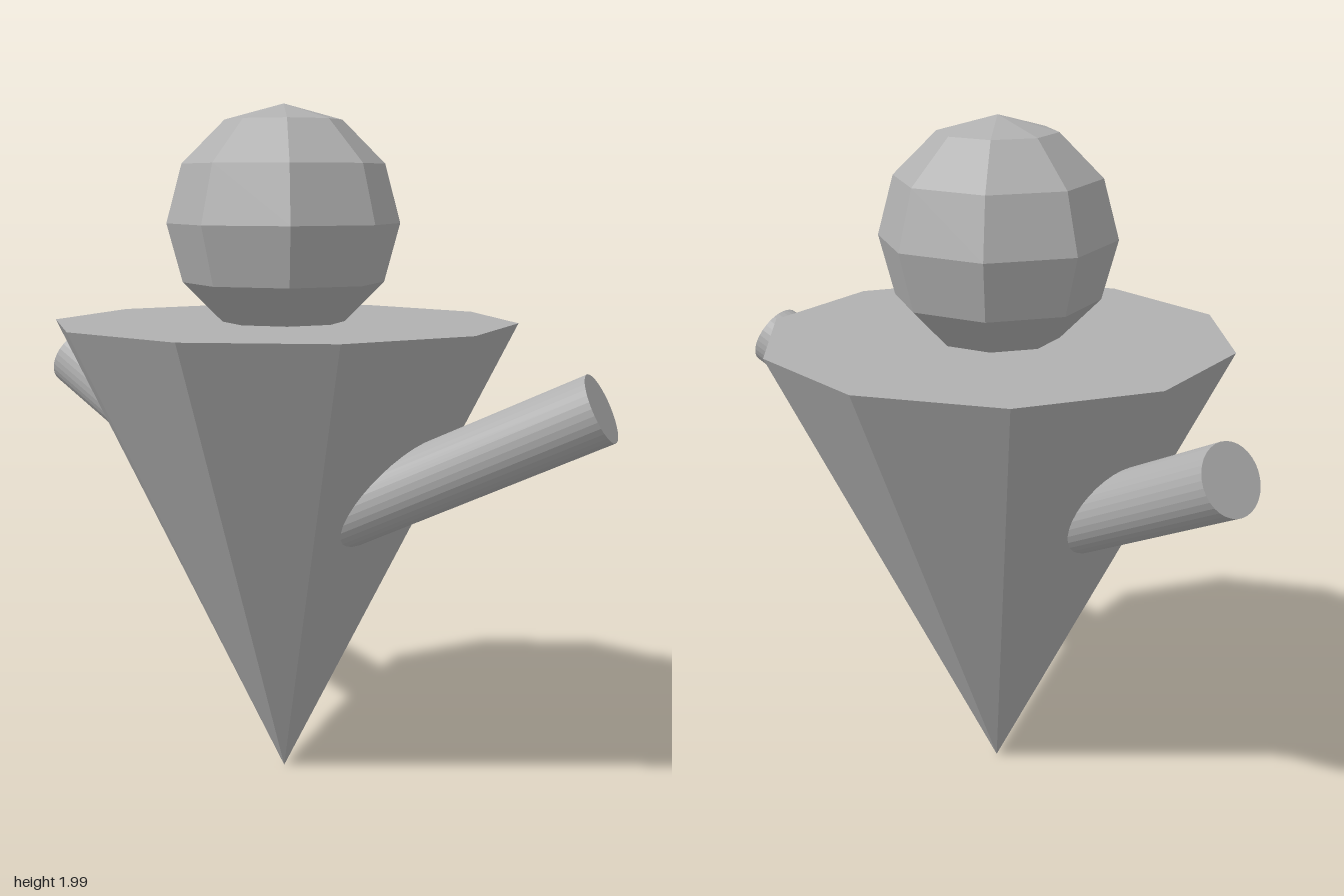
import * as THREE from 'three';

export function createModel() {
  const model = new THREE.Group();
  const grey = new THREE.MeshStandardMaterial({ color: 0xb0b0b0 });
  grey.name = 'plain grey';
  grey.flatShading = true;
  const axisZ = -0.03;

  const add = (name, geometry) => {
    const mesh = new THREE.Mesh(geometry, grey);
    mesh.name = name;
    model.add(mesh);
    return mesh;
  };

  // Ten-sided cone standing on its tip
  const height = 1.365;
  const body = add('body', new THREE.ConeGeometry(0.682, height, 10).rotateZ(Math.PI));
  body.position.set(0, height / 2, axisZ);

  // Faceted ball sunk slightly into the flat top
  const head = add('head', new THREE.SphereGeometry(0.34, 8, 6));
  head.position.set(0, 1.65, axisZ);

  // Round rods running from inside the body out to a flat end
  const addArm = (name, tip, direction) => {
    const length = 0.95;
    const dir = new THREE.Vector3(...direction).normalize();
    const arm = add(name, new THREE.CylinderGeometry(0.098, 0.098, length, 32));
    arm.quaternion.setFromUnitVectors(new THREE.Vector3(0, 1, 0), dir);
    arm.position.set(...tip).addScaledVector(dir, -length / 2);
  };
  addArm('frontArm', [0.15, 1.183, 0.951], [0.34, 0.5, 1]);
  addArm('backArm', [0, 1.195, -0.954], [0, 0.5, -1]);

  return model;
}
